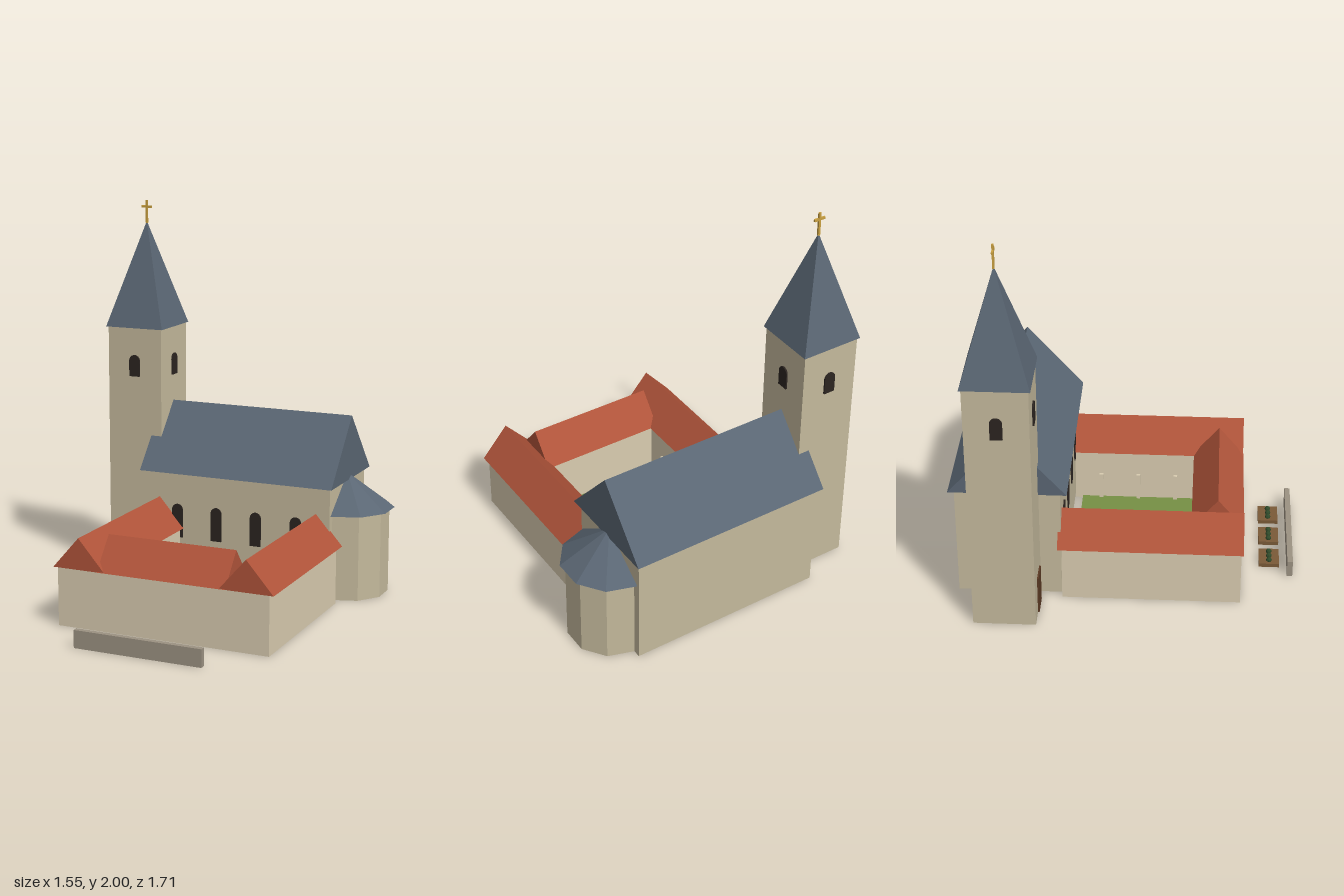
import * as THREE from 'three';

const mat = (color) => new THREE.MeshStandardMaterial({ color, flatShading: true });

export function createModel() {
  const model = new THREE.Group();
  const plaster = mat(0xc4b99c), cream = mat(0xd9ccb0), slate = mat(0x5a6673);
  const tile = mat(0xb0543a), dark = mat(0x2b2420), wood = mat(0x5c3a24);
  const gold = mat(0xc9a040), stone = mat(0x9c9282), grass = mat(0x769045);
  const soil = mat(0x7a5a38), leaf = mat(0x2f4a2a);

  function add(name, geometry, material, x = 0, y = 0, z = 0, ry = 0, parent = model) {
    const mesh = new THREE.Mesh(geometry, material);
    mesh.name = name;
    mesh.position.set(x, y, z);
    mesh.rotation.y = ry;
    parent.add(mesh);
    return mesh;
  }

  // Box given by its lower and upper limits
  function block(name, material, [x0, x1], [y0, y1], [z0, z1], parent = model) {
    return add(name, new THREE.BoxGeometry(x1 - x0, y1 - y0, z1 - z0), material,
      (x0 + x1) / 2, (y0 + y1) / 2, (z0 + z1) / 2, 0, parent);
  }

  // Gable roof: triangular prism centred on its eave rectangle, ridge along local z
  function gable(name, material, width, height, length, x, y, z, ry = 0) {
    const s = new THREE.Shape();
    s.moveTo(-width / 2, 0);
    s.lineTo(width / 2, 0);
    s.lineTo(0, height);
    const g = new THREE.ExtrudeGeometry(s, { depth: length, bevelEnabled: false });
    g.translate(0, 0, -length / 2);
    return add(name, g, material, x, y, z, ry);
  }

  // Round-headed window panel standing on its sill
  function archGeometry(w, h, depth) {
    const s = new THREE.Shape();
    s.moveTo(-w / 2, 0);
    s.lineTo(w / 2, 0);
    s.lineTo(w / 2, h - w / 2);
    s.absarc(0, h - w / 2, w / 2, 0, Math.PI, false);
    const g = new THREE.ExtrudeGeometry(s, { depth, bevelEnabled: false, curveSegments: 8 });
    return g.translate(0, 0, -depth / 2);
  }

  const cz = -0.565; // axis of the church

  // Nave with its windows on the courtyard side
  block('naveWalls', plaster, [-0.5, 0.54], [0, 0.6], [cz - 0.26, cz + 0.26]);
  gable('naveRoof', slate, 0.585, 0.333, 1.08, 0.02, 0.6, cz + 0.003, Math.PI / 2);
  const naveWindow = archGeometry(0.06, 0.18, 0.014);
  for (let i = 0; i < 4; i++) {
    add('naveWindow', naveWindow, dark, -0.315 + i * 0.2233, 0.25, cz + 0.26);
  }

  // Ten-sided apse
  add('apseWalls', new THREE.CylinderGeometry(0.22, 0.22, 0.45, 10), plaster, 0.54, 0.225, cz);
  add('apseRoof', new THREE.ConeGeometry(0.247, 0.18, 10), slate, 0.54, 0.54, cz);

  // Tower, spire and cross
  const tx = -0.615;
  block('towerWalls', plaster, [tx - 0.155, tx + 0.155], [0, 1.335], [cz - 0.155, cz + 0.155]);
  add('spire', new THREE.ConeGeometry(0.165 * Math.SQRT2, 0.555, 4, 1, false, Math.PI / 4),
    slate, tx, 1.6125, cz);
  const towerWindow = archGeometry(0.06, 0.115, 0.016);
  for (let i = 0; i < 4; i++) {
    const a = i * Math.PI / 2;
    add('towerWindow', towerWindow, dark,
      tx + Math.sin(a) * 0.155, 1.075, cz + Math.cos(a) * 0.155, a);
  }
  block('towerDoor', wood, [tx - 0.055, tx + 0.055], [0, 0.205], [cz + 0.15, cz + 0.163]);
  block('crossPost', gold, [tx - 0.006, tx + 0.006], [1.88, 2], [cz - 0.005, cz + 0.005]);
  block('crossArm', gold, [tx - 0.03, tx + 0.03], [1.96, 1.972], [cz - 0.005, cz + 0.005]);

  // Cloister: U-shaped walls opening towards the nave
  const u = new THREE.Shape([
    [-0.54, -0.59], [0.58, -0.59], [0.58, 0.3], [0.345, 0.3],
    [0.345, -0.36], [-0.3, -0.36], [-0.3, 0.3], [-0.54, 0.3],
  ].map(([x, y]) => new THREE.Vector2(x, y)));
  const walls = new THREE.ExtrudeGeometry(u, { depth: 0.3, bevelEnabled: false });
  add('cloisterWalls', walls.rotateX(-Math.PI / 2), cream);
  for (const x of [-0.42, 0.465]) {
    gable('sideWingRoof', tile, 0.28, 0.16, 0.92, x, 0.3, 0.14);
  }
  gable('frontWingRoof', tile, 0.265, 0.16, 0.68, 0.02, 0.3, 0.47, Math.PI / 2);

  // Small pilasters along the inner walls, under the eaves
  for (const x of [-0.295, 0.34]) {
    for (const z of [0.24, 0.04, -0.16]) {
      block('pilaster', cream, [x - 0.01, x + 0.01], [0, 0.16], [z - 0.01, z + 0.01]);
    }
  }

  // Courtyard lawn and well
  block('lawn', grass, [-0.3, 0.345], [0.001, 0.012], [-0.262, 0.36]);
  add('well', new THREE.CylinderGeometry(0.058, 0.058, 0.06, 10), stone, 0.02, 0.03, 0.048);

  // Garden beds and the low wall in front
  const plant = new THREE.SphereGeometry(0.015, 8, 6);
  for (const x of [-0.172, 0.02, 0.213]) {
    const bed = new THREE.Group();
    bed.name = 'gardenBed';
    bed.position.set(x, 0, 0.74);
    model.add(bed);
    block('soil', soil, [-0.066, 0.066], [0, 0.02], [-0.052, 0.052], bed);
    for (const dx of [-0.037, 0, 0.037]) add('plant', plant, leaf, dx, 0.025, 0, 0, bed);
  }
  block('gardenWall', stone, [-0.31, 0.355], [0, 0.09], [0.83, 0.858]);

  return model;
}
